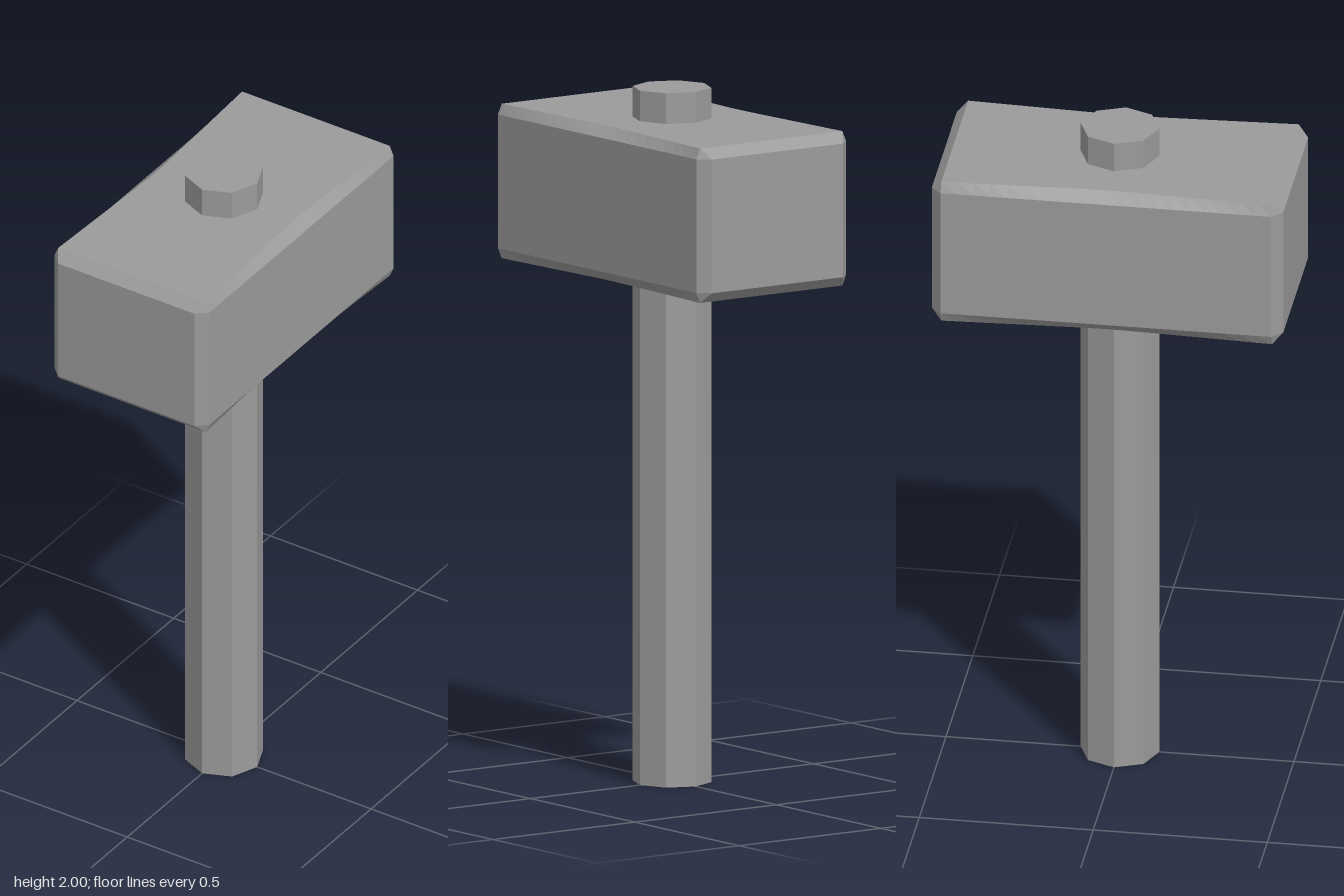
import * as THREE from 'three';

// Hammer head: eight-cornered cross-sections lofted along z, with waisted bevels
function headGeometry() {
  const low = 1.467, high = 1.912, bevel = 0.03, steps = 20;
  // [z, half width at the sides, half width of top and bottom, bevel height]
  const sections = [[-0.505, 0.232, 0.232, 0]];
  for (let i = 0; i <= steps; i++) {
    const t = (2 * i) / steps - 1;
    // Nearly straight flare from the narrow middle to the ends
    const flare = (Math.hypot(t, 0.1) - 0.1) / (Math.hypot(1, 0.1) - 0.1);
    sections.push([0.475 * t, 0.264, 0.231 + 0.02 * flare, bevel]);
  }
  sections.push([0.505, 0.232, 0.232, 0]);

  const positions = [];
  for (const [z, side, top, rise] of sections) {
    const y0 = low + bevel, y1 = high - bevel;
    const ring = [
      [side, y0], [side, y1], [top, y1 + rise], [-top, y1 + rise],
      [-side, y1], [-side, y0], [-top, y0 - rise], [top, y0 - rise],
    ];
    for (const [x, y] of ring) positions.push(x, y, z);
  }
  const index = [];
  const last = sections.length - 2;
  for (let r = 0; r <= last; r++) {
    for (let j = 0; j < 8; j++) {
      const a = r * 8 + j, b = r * 8 + (j + 1) % 8, c = b + 8, d = a + 8;
      // Bevels close to a single corner point at both end faces
      if (r > 0 || j % 2 === 0) index.push(a, b, c);
      if (r < last || j % 2 === 0) index.push(a, c, d);
    }
  }
  // Striking faces
  const f = (sections.length - 1) * 8;
  index.push(f, f + 1, f + 3, f, f + 3, f + 5);
  index.push(0, 3, 1, 0, 5, 3);

  const indexed = new THREE.BufferGeometry();
  indexed.setAttribute('position', new THREE.Float32BufferAttribute(positions, 3));
  indexed.setIndex(index);
  const geometry = indexed.toNonIndexed();
  geometry.computeVertexNormals();
  return geometry;
}

export function createModel() {
  const group = new THREE.Group();
  group.name = 'hammer';
  const material = new THREE.MeshStandardMaterial({ color: 0x9b9b9b, flatShading: true });

  // Octagonal handle running right through the head
  const handle = new THREE.Mesh(new THREE.CylinderGeometry(0.113, 0.113, 2, 8), material);
  handle.name = 'handle';
  handle.position.y = 1;
  group.add(handle);

  const head = new THREE.Mesh(headGeometry(), material);
  head.name = 'head';
  group.add(head);

  return group;
}
